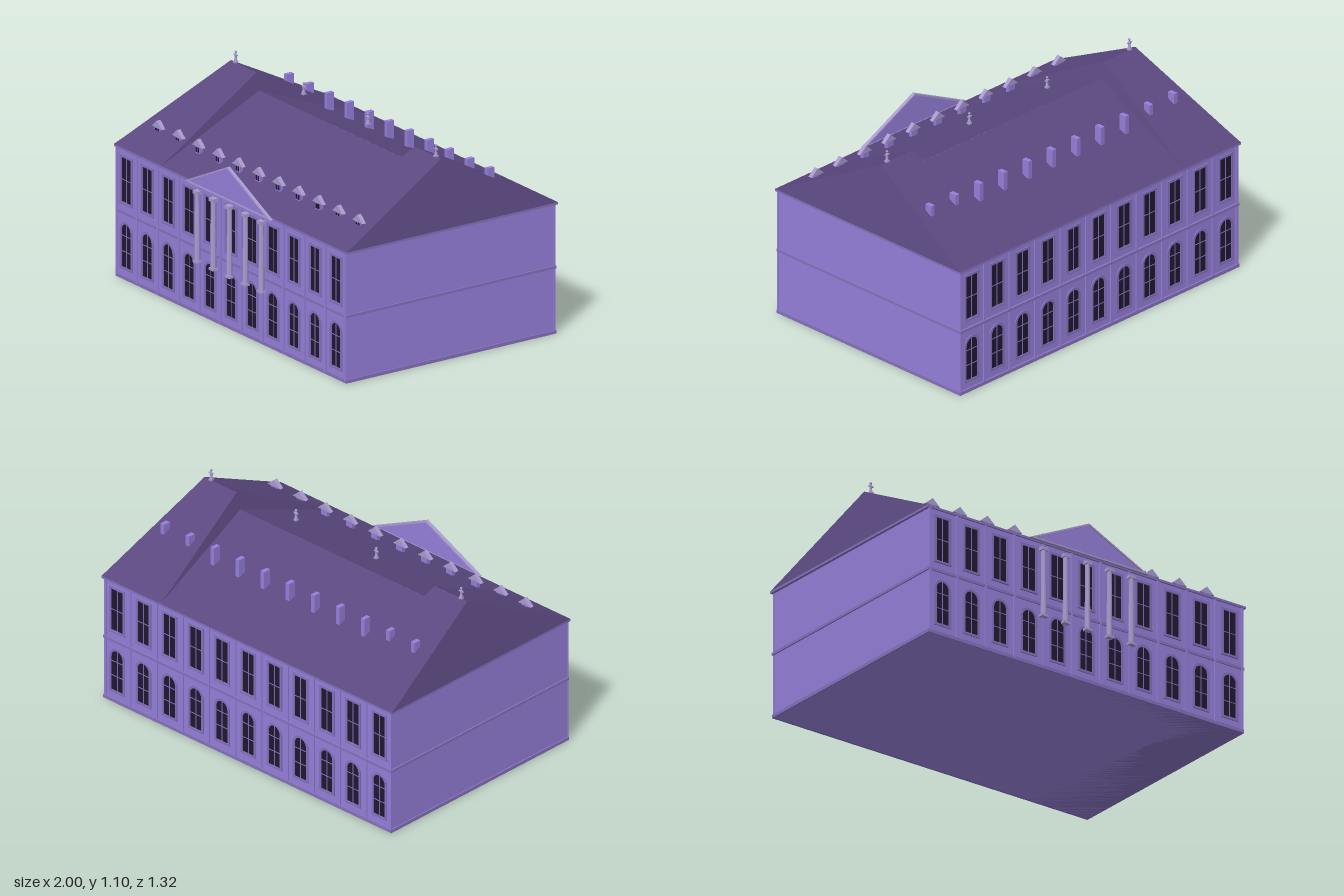
import * as THREE from 'three';

const mat = (color) => new THREE.MeshStandardMaterial({ color, flatShading: true, side: THREE.DoubleSide });
const WALL = mat(0x967fda), ROOF = mat(0x5b4880), GLASS = mat(0x201830), TRIM = mat(0x8672be), STONE = mat(0xa99bd0);

const ZC = -0.01; // depth of the ridge line
const BAY = 0.1805; // bay pitch, eleven bays

function add(parent, name, geo, material, x = 0, y = 0, z = 0) {
  const m = new THREE.Mesh(geo, material);
  m.name = name;
  m.position.set(x, y, z);
  parent.add(m);
  return m;
}

const box = (parent, name, material, w, h, d, x, y, z) =>
  add(parent, name, new THREE.BoxGeometry(w, h, d), material, x, y, z);

// Rectangle standing on y0, optionally with a round arched head
function opening(path, w, y0, y1, arched) {
  const r = w / 2;
  path.moveTo(-r, y0);
  path.lineTo(r, y0);
  if (arched) {
    path.lineTo(r, y1 - r);
    path.absarc(0, y1 - r, r, 0, Math.PI, false);
  } else {
    path.lineTo(r, y1);
    path.lineTo(-r, y1);
  }
  path.closePath();
  return path;
}

function polygon(points) {
  return new THREE.Shape(points.map(([x, y]) => new THREE.Vector2(x, y)));
}

const extrude = (shape, depth) =>
  new THREE.ExtrudeGeometry(shape, { depth, bevelEnabled: false, curveSegments: 10 });

// Closed solid joining rings of four corners, bottom to top
function loft(rings) {
  const pos = rings.flat(2), idx = [];
  for (let r = 0; r < rings.length - 1; r++)
    for (let i = 0; i < 4; i++) {
      const a = r * 4 + i, b = r * 4 + (i + 1) % 4;
      idx.push(a, b, b + 4, a, b + 4, a + 4);
    }
  idx.push(0, 2, 1, 0, 3, 2);
  const g = new THREE.BufferGeometry();
  g.setAttribute('position', new THREE.Float32BufferAttribute(pos, 3));
  g.setIndex(idx);
  const flat = g.toNonIndexed();
  flat.computeVertexNormals();
  return flat;
}

const ring = (x0, x1, y, hz) =>
  [[x0, y, ZC + hz], [x1, y, ZC + hz], [x1, y, ZC - hz], [x0, y, ZC - hz]];

// One window: glass, surround and glazing bars, facing +z
function makeWindow(name, w, y0, y1, arched) {
  const g = new THREE.Group();
  g.name = name;
  const surround = opening(new THREE.Shape(), w + 0.026, y0 - 0.013, y1 + 0.013, arched);
  surround.holes.push(opening(new THREE.Path(), w, y0, y1, arched));
  add(g, 'surround', extrude(surround, 0.006), TRIM);
  add(g, 'glass', new THREE.ShapeGeometry(opening(new THREE.Shape(), w, y0, y1, arched), 10), GLASS, 0, 0, 0.0015);
  box(g, 'mullion', TRIM, 0.005, y1 - y0, 0.003, 0, (y0 + y1) / 2, 0.002);
  const bars = arched ? [0.36, 0.72] : [0.5];
  for (const t of bars) box(g, 'glazingBar', TRIM, w, 0.004, 0.003, 0, y0 + t * (y1 - y0), 0.002);
  if (!arched) box(g, 'sill', TRIM, w + 0.03, 0.008, 0.01, 0, y0 - 0.009, 0.004);
  return g;
}

function makeFacade(name) {
  const g = new THREE.Group();
  g.name = name;
  const upper = makeWindow('upperWindow', 0.078, 0.41, 0.645, false);
  const lower = makeWindow('archedWindow', 0.078, 0.065, 0.295, true);
  for (let i = -5; i <= 5; i++)
    for (const w of [upper, lower]) {
      const c = w.clone();
      c.position.x = i * BAY;
      g.add(c);
    }
  for (let i = 0; i <= 11; i++) {
    const x = Math.max(-0.982, Math.min(0.982, (i - 5.5) * BAY));
    box(g, 'pilaster', WALL, 0.012, 0.68, 0.008, x, 0.35, 0.003);
  }
  return g;
}

function makeColumn() {
  const g = new THREE.Group();
  g.name = 'column';
  box(g, 'columnBase', STONE, 0.04, 0.012, 0.03, 0, 0.284, 0);
  add(g, 'shaft', new THREE.CylinderGeometry(0.012, 0.015, 0.36, 12), STONE, 0, 0.47, 0);
  box(g, 'capital', STONE, 0.038, 0.018, 0.03, 0, 0.652, 0);
  return g;
}

function makeStatue() {
  const g = new THREE.Group();
  g.name = 'roofStatue';
  box(g, 'pedestal', STONE, 0.02, 0.008, 0.02, 0, 1.038, 0);
  const profile = [[0.01, 1.042], [0.006, 1.06], [0.008, 1.078], [0.003, 1.085]];
  add(g, 'figure', new THREE.LatheGeometry(profile.map(([x, y]) => new THREE.Vector2(x, y)), 8), STONE);
  add(g, 'head', new THREE.SphereGeometry(0.007, 8, 6), STONE, 0, 1.092, 0);
  box(g, 'arms', STONE, 0.03, 0.006, 0.006, 0, 1.075, 0);
  return g;
}

function makeDormer() {
  const g = new THREE.Group();
  g.name = 'dormer';
  box(g, 'dormerBody', WALL, 0.042, 0.04, 0.02, 0, 0.777, 0);
  for (const x of [-0.009, 0.009]) box(g, 'dormerGlass', GLASS, 0.013, 0.026, 0.002, x, 0.777, 0.01);
  add(g, 'dormerGable', extrude(polygon([[-0.044, 0.794], [0.044, 0.794], [0, 0.832]]), 0.022), STONE, 0, 0, -0.01);
  return g;
}

export function createModel() {
  const model = new THREE.Group();
  model.name = 'palace';

  // Walls and horizontal mouldings
  box(model, 'walls', WALL, 1.97, 0.69, 1.276, 0, 0.345, -0.007);
  box(model, 'plinth', TRIM, 1.985, 0.018, 1.292, 0, 0.009, ZC);
  box(model, 'stringCourse', TRIM, 1.985, 0.014, 1.294, 0, 0.353, ZC);
  box(model, 'cornice', TRIM, 2, 0.012, 1.3, 0, 0.692, ZC);

  // Long facades
  const front = makeFacade('frontFacade');
  front.position.z = 0.631;
  const back = makeFacade('backFacade');
  back.rotation.y = Math.PI;
  back.position.z = -0.645;
  model.add(front, back);

  // Main roof between two taller pavilion roofs
  add(model, 'mainRoof', loft([ring(-0.66, 0.66, 0.698, 0.65), ring(-0.66, 0.66, 0.945, 0.0005)]), ROOF);
  for (const s of [-1, 1]) {
    const span = (a, b, y, hz) => (s < 0 ? ring(-a, -b, y, hz) : ring(b, a, y, hz));
    add(model, s < 0 ? 'rightPavilionRoof' : 'leftPavilionRoof', loft([
      span(1, 0.6, 0.698, 0.65),
      span(0.992, 0.6, 0.727, 0.59),
      span(0.905, 0.683, 1.035, 0.0005),
    ]), ROOF);
  }

  // Dormers on the front slope, chimneys on the back slope
  for (let i = -5; i <= 5; i++) {
    const x = 0.013 + i * 0.1725;
    const dormer = makeDormer();
    dormer.position.set(x, 0, 0.472);
    model.add(dormer);
    box(model, 'chimney', WALL, 0.024, 0.125, 0.042, x, 0.853, -0.328);
  }

  // Statues in line above the ridge
  for (const x of [-0.863, -0.278, 0.275, 0.86]) {
    const statue = makeStatue();
    statue.position.set(x, 0, ZC);
    model.add(statue);
  }

  // Portico: columns and pediment
  for (let i = -2; i <= 2; i++) {
    const column = makeColumn();
    column.position.set(i * 0.138, 0, 0.645);
    model.add(column);
  }
  add(model, 'tympanum', extrude(polygon([[-0.36, 0.692], [0.36, 0.692], [0, 0.86]]), 0.01), WALL, 0, 0, 0.645);
  const rim = polygon([[-0.37, 0.69], [0.37, 0.69], [0, 0.867]]);
  rim.holes.push(polygon([[-0.335, 0.698], [0, 0.857], [0.335, 0.698]]));
  add(model, 'pedimentMoulding', extrude(rim, 0.018), STONE, 0, 0, 0.642);

  return model;
}
